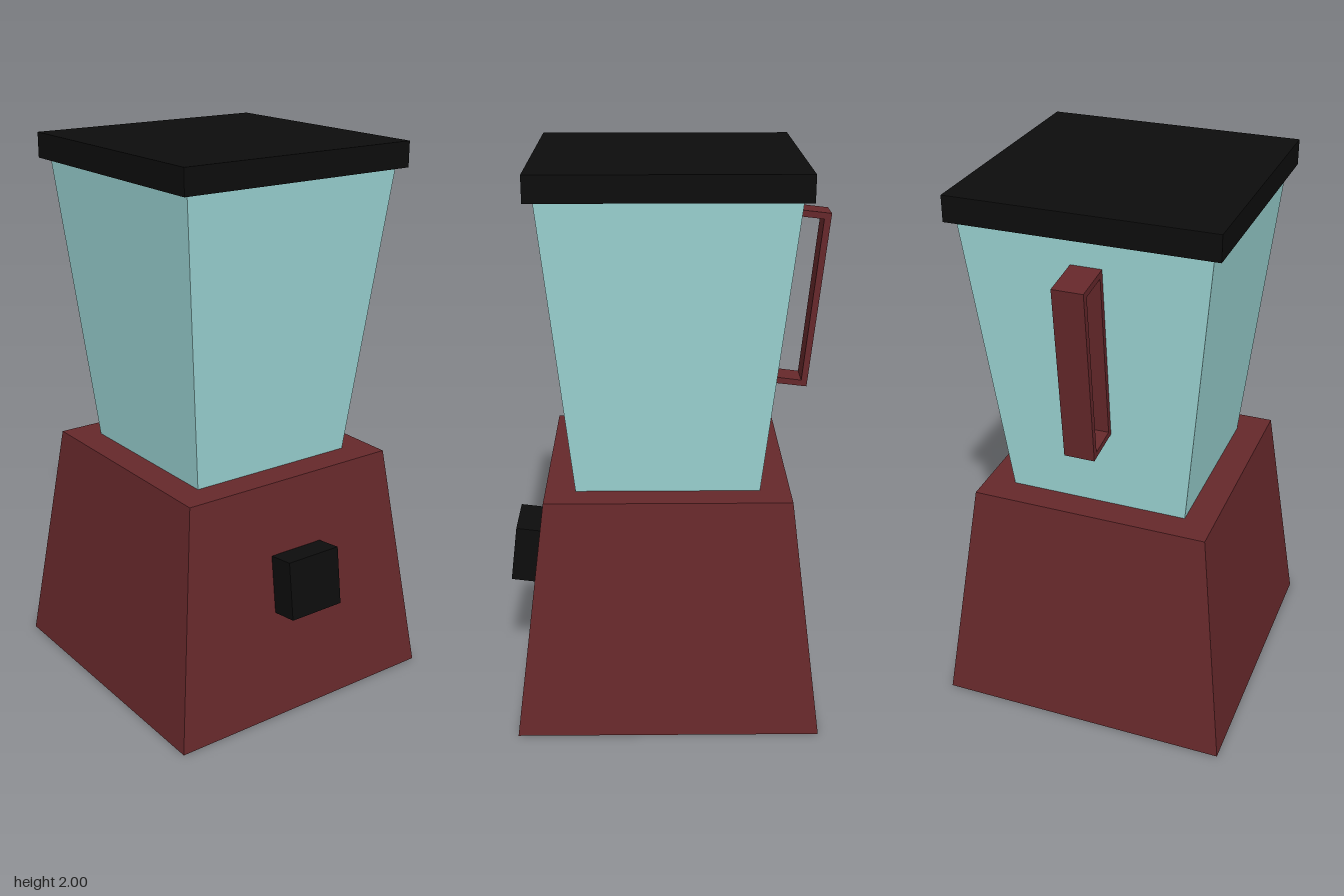
import * as THREE from 'three';

const RED = new THREE.MeshStandardMaterial({ color: 0x66282b });
const BLACK = new THREE.MeshStandardMaterial({ color: 0x0d0d0d });
const GLASS = new THREE.MeshStandardMaterial({ color: 0x9ed8d7 });
const BODY_Z = -0.006;

// Square block whose half width changes from bottom to top
function taperedBlock(halfBottom, halfTop, y0, y1) {
  const geo = new THREE.BoxGeometry(2, y1 - y0, 2);
  const pos = geo.attributes.position;
  for (let i = 0; i < pos.count; i++) {
    const half = pos.getY(i) < 0 ? halfBottom : halfTop;
    pos.setX(i, pos.getX(i) * half);
    pos.setZ(i, pos.getZ(i) * half);
  }
  geo.computeVertexNormals();
  return geo.translate(0, (y0 + y1) / 2, BODY_Z);
}

// Side outline given as [z, y] corners, extruded across x
function sideProfile(outline, width, xCentre, hole) {
  const toPoints = (list) => list.map(([z, y]) => new THREE.Vector2(z, y));
  const shape = new THREE.Shape(toPoints(outline));
  if (hole) shape.holes.push(new THREE.Path(toPoints(hole)));
  const geo = new THREE.ExtrudeGeometry(shape, { depth: width, bevelEnabled: false });
  return geo.translate(0, 0, -width / 2).rotateY(-Math.PI / 2).translate(xCentre, 0, 0);
}

export function createModel() {
  const blender = new THREE.Group();
  blender.name = 'blender';

  const add = (name, geo, material) => {
    const mesh = new THREE.Mesh(geo, material);
    mesh.name = name;
    blender.add(mesh);
  };

  // Motor base, jar and overhanging lid
  add('motorBase', taperedBlock(0.54, 0.432, 0, 0.867), RED);
  add('jar', taperedBlock(0.325, 0.43, 0.867, 1.91), GLASS);
  add('lid', taperedBlock(0.461, 0.461, 1.91, 2), BLACK);

  // Control knob, tilted with the front of the base
  add('knob', sideProfile(
    [[0.559, 0.62], [0.46, 0.607], [0.486, 0.394], [0.585, 0.407]], 0.218, 0), BLACK);

  // Thin rectangular loop handle, tilted with the back of the jar
  add('handle', sideProfile(
    [[-0.426, 1.811], [-0.58, 1.793], [-0.516, 1.157], [-0.363, 1.175]], 0.108, -0.01,
    [[-0.443, 1.786], [-0.554, 1.773], [-0.496, 1.181], [-0.385, 1.195]]), RED);

  return blender;
}
